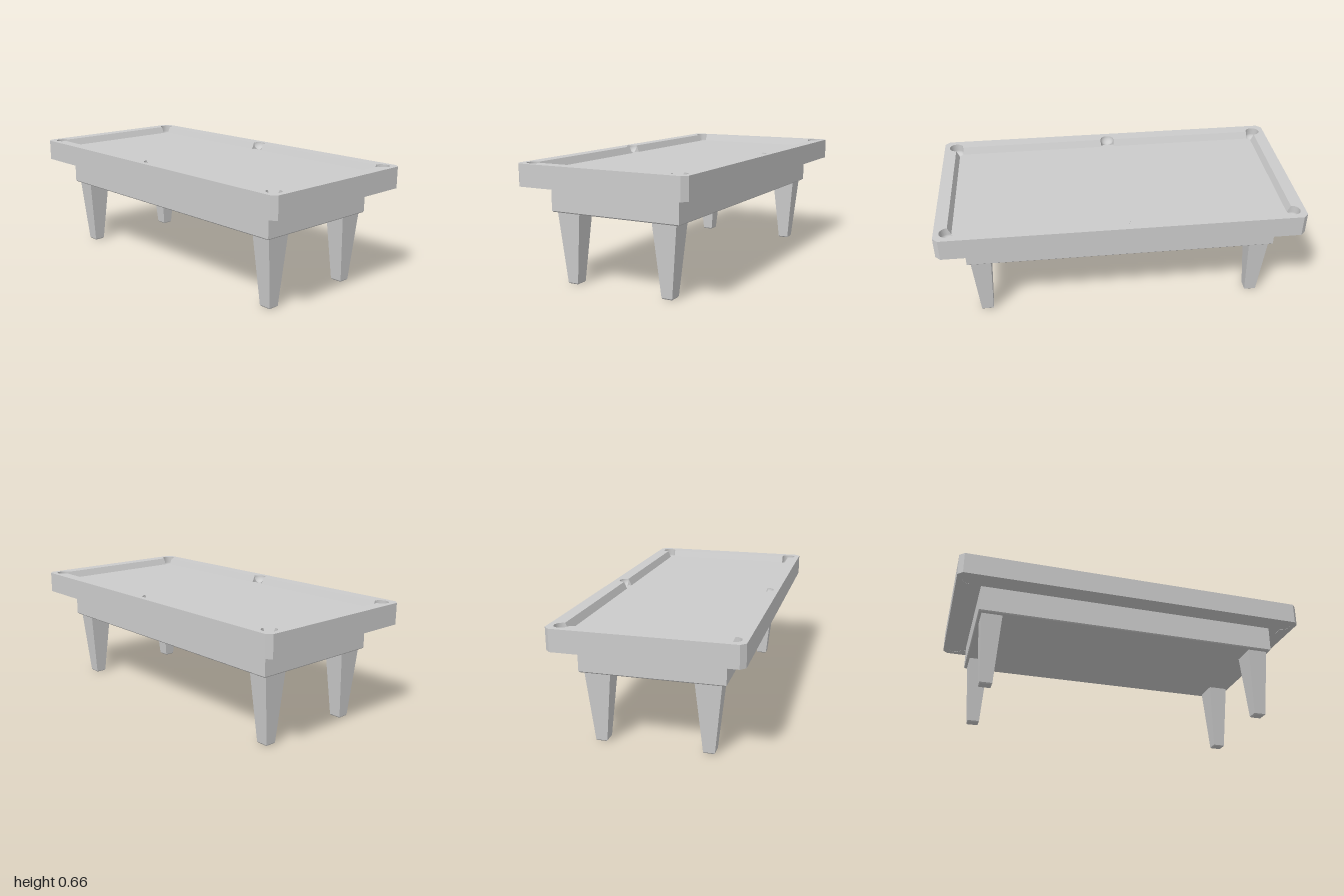
import * as THREE from 'three';

const TOP = 0.66, BED = 0.62, RAIL_BOTTOM = 0.54, APRON_BOTTOM = 0.392;
const PX = 0.93, PZ = 0.43, R = 0.04; // pocket centres and radius

export function createModel() {
  const model = new THREE.Group();
  const mat = new THREE.MeshStandardMaterial({ color: 0xcccccc });
  const thin = new THREE.MeshStandardMaterial({ color: 0xcccccc, side: THREE.DoubleSide });

  const add = (name, geo, x = 0, y = 0, z = 0, material = mat) => {
    const mesh = new THREE.Mesh(geo, material);
    mesh.name = name;
    mesh.position.set(x, y, z);
    model.add(mesh);
    return mesh;
  };

  // Box whose horizontal rows follow [y, halfX, halfZ], listed top to bottom
  const loftBox = (rows) => {
    const n = rows.length - 1;
    const geo = new THREE.BoxGeometry(2, 1, 2, 1, n, 1).toNonIndexed();
    const p = geo.attributes.position;
    for (let i = 0; i < p.count; i++) {
      const [y, hx, hz] = rows[Math.round((0.5 - p.getY(i)) * n)];
      p.setXYZ(i, p.getX(i) * hx, y, p.getZ(i) * hz);
    }
    geo.computeVertexNormals();
    return geo;
  };

  // Rail frame: chamfered outline with an opening that swells at the six pockets
  const c = 0.027;
  const outline = new THREE.Shape([
    [1, -0.5 + c], [1, 0.5 - c], [1 - c, 0.5], [-1 + c, 0.5],
    [-1, 0.5 - c], [-1, -0.5 + c], [-1 + c, -0.5], [1 - c, -0.5],
  ].map(([x, y]) => new THREE.Vector2(x, y)));
  const q = Math.PI / 2;
  const opening = new THREE.Path();
  opening.absarc(PX, PZ, R, -q, 2 * q, false);
  opening.absarc(0, PZ, R, 0, 2 * q, false);
  opening.absarc(-PX, PZ, R, 0, 3 * q, false);
  opening.absarc(-PX, -PZ, R, q, 4 * q, false);
  opening.absarc(0, -PZ, R, 2 * q, 4 * q, false);
  opening.absarc(PX, -PZ, R, 2 * q, 5 * q, false);
  outline.holes.push(opening);
  const rail = new THREE.ExtrudeGeometry(outline, {
    depth: TOP - RAIL_BOTTOM, bevelEnabled: false, curveSegments: 24,
  });
  rail.rotateX(-q);
  add('railFrame', rail, 0, RAIL_BOTTOM);

  // Playing surface with quarter-round cutouts at the corners
  const bed = new THREE.Shape();
  bed.absarc(PX, PZ, R, -q, -2 * q, true);
  bed.absarc(-PX, PZ, R, 0, -q, true);
  bed.absarc(-PX, -PZ, R, q, 0, true);
  bed.absarc(PX, -PZ, R, 2 * q, q, true);
  add('playingSurface', new THREE.ShapeGeometry(bed, 12).rotateX(-q), 0, BED);

  // Panel closing the underside of the frame
  add('underside', new THREE.PlaneGeometry(1.96, 0.96).rotateX(q), 0, RAIL_BOTTOM + 0.001);

  // Sloped cushions between the pockets
  const cushion = (length, x, z, turn) => {
    const profile = new THREE.Shape([
      new THREE.Vector2(0, BED), new THREE.Vector2(0, TOP), new THREE.Vector2(-0.018, BED),
    ]);
    const geo = new THREE.ExtrudeGeometry(profile, { depth: length, bevelEnabled: false });
    geo.translate(0, 0, -length / 2);
    add('cushion', geo, x, 0, z).rotation.y = turn;
  };
  for (const s of [1, -1]) {
    cushion(2 * (PZ - R), s * PX, 0, s > 0 ? 0 : Math.PI);
    for (const t of [1, -1]) cushion(PX - 2 * R, t * PX / 2, s * PZ, -s * q);
  }

  // Corner pocket bowls and scooped side pockets
  for (const s of [1, -1]) {
    for (const t of [1, -1]) {
      const bowl = new THREE.SphereGeometry(R, 24, 8, 0, Math.PI * 2, q, q).scale(1, 0.75, 1);
      add('cornerPocket', bowl, t * PX, BED, s * PZ, thin);
    }
    const scoop = new THREE.SphereGeometry(R, 16, 8, 0, Math.PI, q, q);
    add('sidePocket', scoop, 0, TOP, s * PZ, thin).rotation.y = s > 0 ? 0 : Math.PI;
  }

  // Apron with a softened lower edge
  const shift = -0.003;
  add('apron', loftBox([
    [RAIL_BOTTOM + 0.001, 0.862, 0.385], [APRON_BOTTOM + 0.006, 0.862, 0.385], [APRON_BOTTOM, 0.857, 0.379],
  ]), shift);

  // Four tapered legs with chamfered feet
  const leg = loftBox([
    [APRON_BOTTOM + 0.002, 0.057, 0.07], [0.006, 0.034, 0.031], [0, 0.029, 0.026],
  ]);
  for (const x of [-0.788, 0.788]) {
    for (const z of [-0.29, 0.29]) add('leg', leg, x + shift, 0, z);
  }

  return model;
}
